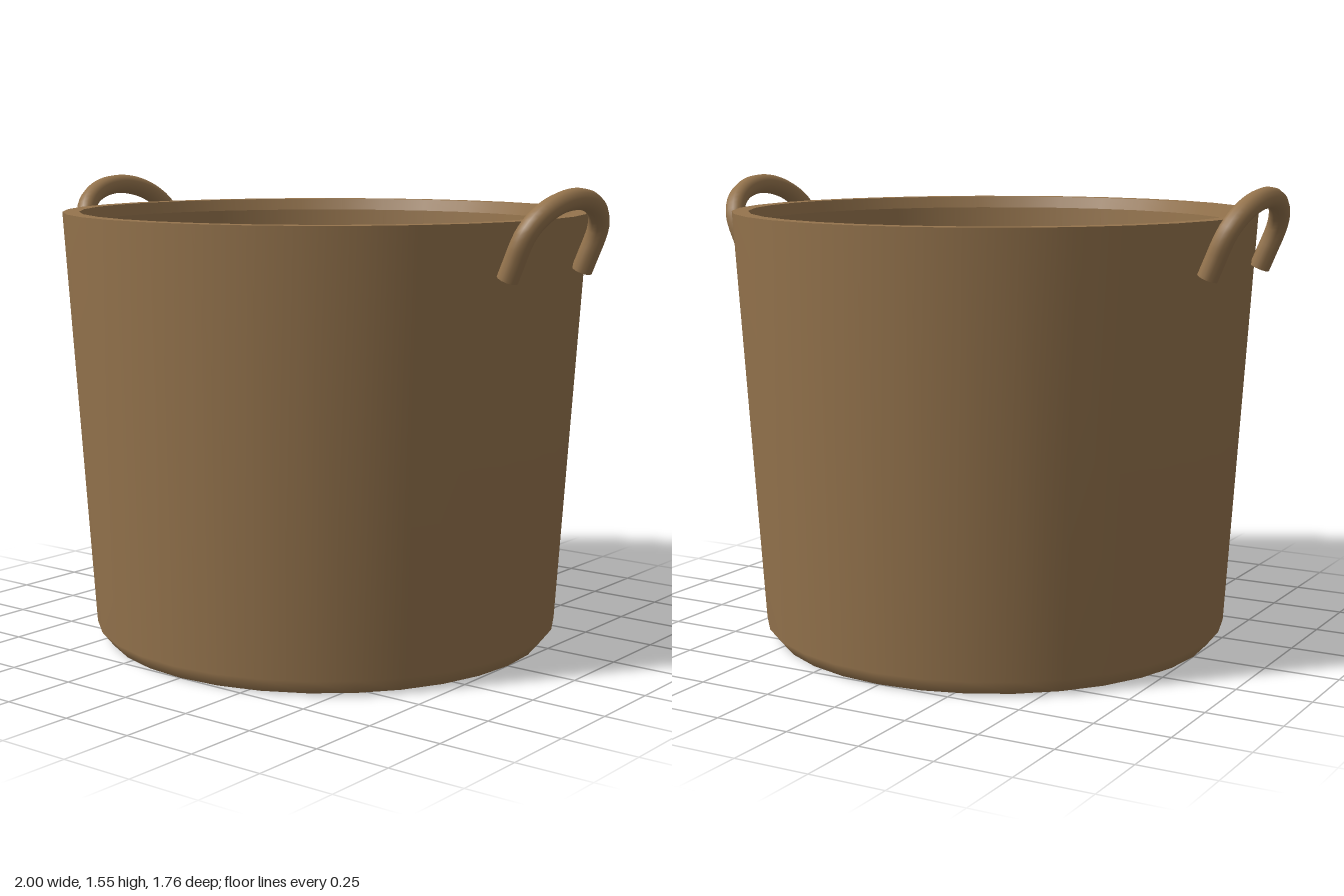
import * as THREE from 'three';
import { mergeGeometries } from 'three/addons/utils/BufferGeometryUtils.js';

const SEGMENTS = 32;

// One smooth surface of revolution; separate bands keep the edges between them crisp.
function band(points) {
  return new THREE.LatheGeometry(points.map(([r, y]) => new THREE.Vector2(r, y)), SEGMENTS);
}

// Arched handle lying in an outward-leaning plane on the +x side.
function handleGeometry() {
  const radius = 0.034, halfWidth = 0.22;
  const foot = 1.277, shoulder = 1.385, top = 1.515;
  const at = (y, z) => new THREE.Vector3(0.865 + (y - foot) * 0.43, y, z);
  const points = [at(foot, halfWidth), at((foot + shoulder) / 2, halfWidth)];
  for (let i = 0; i <= 12; i++) {
    const a = (i / 12) * Math.PI;
    points.push(at(shoulder + (top - shoulder) * Math.sin(a), halfWidth * Math.cos(a)));
  }
  points.push(at((foot + shoulder) / 2, -halfWidth), at(foot, -halfWidth));
  const path = new THREE.CatmullRomCurve3(points);
  const parts = [new THREE.TubeGeometry(path, 40, radius, 12, false)];

  // Flat caps on the two feet
  for (const t of [0, 1]) {
    const outward = path.getTangent(t).multiplyScalar(t === 0 ? -1 : 1);
    const turn = new THREE.Quaternion().setFromUnitVectors(new THREE.Vector3(0, 0, 1), outward);
    const end = path.getPoint(t);
    parts.push(new THREE.CircleGeometry(radius, 12).applyQuaternion(turn).translate(end.x, end.y, end.z));
  }
  return mergeGeometries(parts);
}

export function createModel() {
  const model = new THREE.Group();
  model.name = 'bucket';
  const brown = new THREE.MeshStandardMaterial({ color: 0x95744d });
  brown.name = 'warm brown';

  const add = (name, geometry) => {
    const mesh = new THREE.Mesh(geometry, brown);
    mesh.name = name;
    model.add(mesh);
    return mesh;
  };

  // Tapered shell, listed from underside round to the inner floor
  add('underside', band([[0, 0], [0.75, 0]]));
  add('outerWall', band([[0.75, 0], [0.79, 0.05], [0.88, 1.45]]));
  add('rim', band([[0.88, 1.45], [0.825, 1.45]]));
  add('rimBevel', band([[0.825, 1.45], [0.812, 1.41]]));
  add('innerWall', band([[0.812, 1.41], [0.725, 0.06]]));
  add('floor', band([[0.725, 0.06], [0, 0.06]]));

  // Matching handles on both sides
  const handle = handleGeometry();
  add('leftHandle', handle);
  add('rightHandle', handle).rotation.y = Math.PI;

  return model;
}
